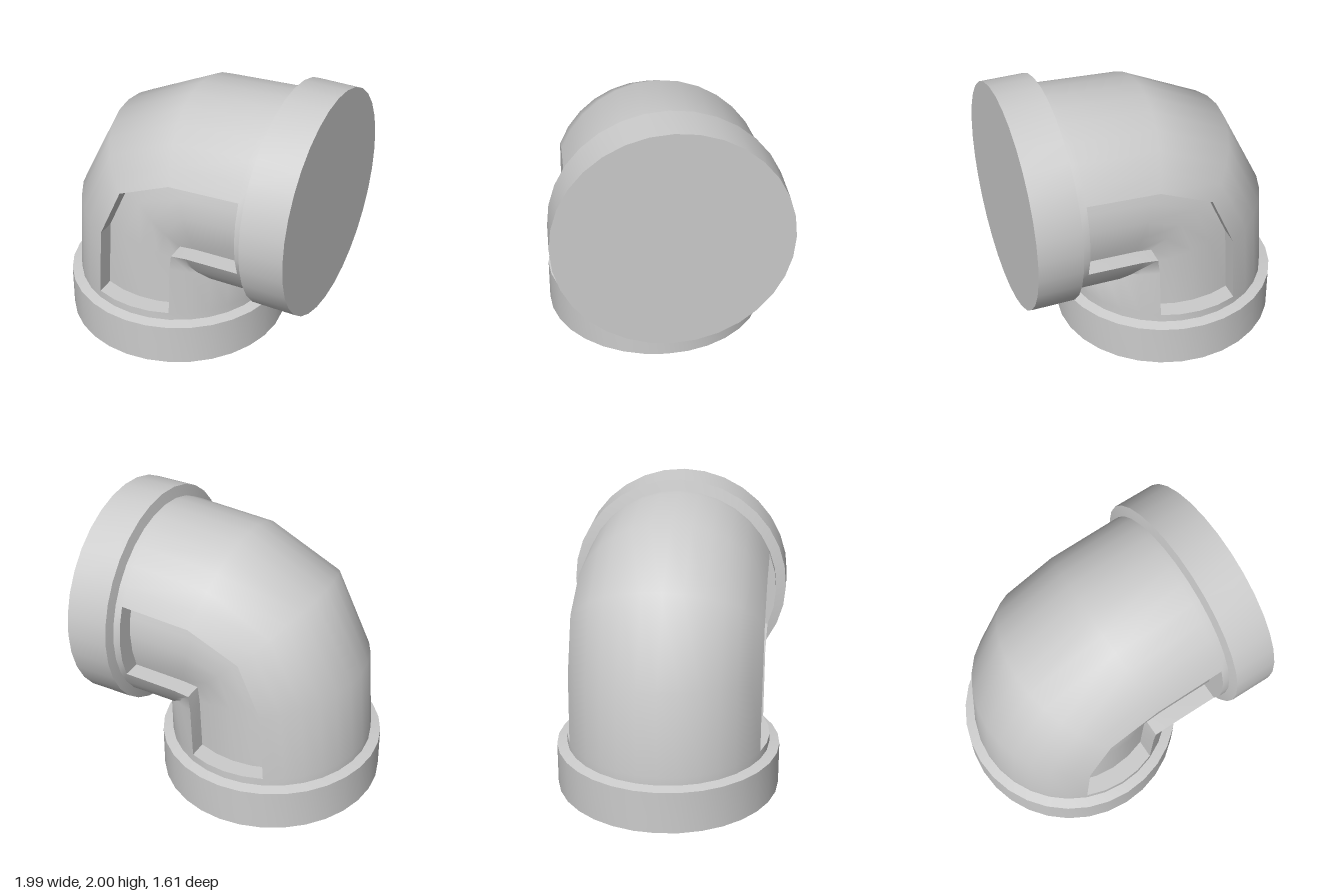
import * as THREE from 'three';
import { toCreasedNormals } from 'three/addons/utils/BufferGeometryUtils.js';

const SIDES = 32, R = 0.73, COLLAR_R = 0.803, DEPTH = 0.13;
const WINDOWS = [6, 22];          // first segment of each recessed side panel
const SPAN = 4;                   // panel width in segments

// Cross-sections of the bend: centre (x, y) and half-width vector towards the inner side
const half = [
  [-0.19, 0.325, R, 0],
  [-0.19, 0.385, R, 0],
  [-0.17, 0.835, 0.71, -0.165],
];
const mirrored = half.map(([x, y, dx, dy]) => [1 - y, 1 - x, -dy, -dx]).reverse();
const stations = [...half, [-0.08, 1.08, 0.51, -0.51], ...mirrored];
const LAST = stations.length - 2; // panels run from station 1 to this one

// Point on the pipe skin, optionally sunk in z to form a panel floor
function skinPoint(k, i, sink = 0) {
  const [x, y, dx, dy] = stations[k];
  const a = (i / SIDES) * Math.PI * 2, u = Math.cos(a), s = Math.sin(a);
  return new THREE.Vector3(x + dx * u, y + dy * u, R * s - Math.sign(s) * sink);
}

// Surface through rows of points; closed rows wrap round, skip(k, i) leaves a hole
function loft(rows, closed, skip = () => false) {
  const n = rows[0].length, index = [];
  for (let k = 0; k < rows.length - 1; k++) {
    for (let i = 0; i < (closed ? n : n - 1); i++) {
      if (skip(k, i)) continue;
      const j = (i + 1) % n;
      const a = k * n + i, b = a + n, c = k * n + j, d = c + n;
      index.push(a, b, d, a, d, c);
    }
  }
  const geo = new THREE.BufferGeometry().setFromPoints(rows.flat());
  geo.setIndex(index);
  geo.computeVertexNormals();
  return geo;
}

export function createModel() {
  const group = new THREE.Group();
  const grey = new THREE.MeshStandardMaterial({ color: 0xcccccc });
  const add = (name, geo) => {
    const mesh = new THREE.Mesh(geo, grey);
    mesh.name = name;
    group.add(mesh);
    return mesh;
  };

  // Elbow pipe with an opening in each side
  const rings = stations.map((_, k) => Array.from({ length: SIDES }, (_, i) => skinPoint(k, i)));
  const inWindow = (k, i) => k >= 1 && k < LAST && WINDOWS.some(w => i >= w && i < w + SPAN);
  add('elbowPipe', loft(rings, true, inWindow));

  // Recessed panels: sunken floor plus the surrounding step
  WINDOWS.forEach((w, n) => {
    const side = n === 0 ? 'front' : 'back';
    const floor = [];
    for (let k = 1; k <= LAST; k++) {
      floor.push(Array.from({ length: SPAN + 1 }, (_, i) => skinPoint(k, w + i, DEPTH)));
    }
    add(side + 'PanelFloor', loft(floor, false));

    const rim = [];
    for (let i = 0; i < SPAN; i++) rim.push([1, w + i]);
    for (let k = 1; k < LAST; k++) rim.push([k, w + SPAN]);
    for (let i = SPAN; i > 0; i--) rim.push([LAST, w + i]);
    for (let k = LAST; k > 1; k--) rim.push([k, w]);
    const wall = loft([0, DEPTH].map(d => rim.map(([k, i]) => skinPoint(k, i, d))), true);
    add(side + 'PanelWall', toCreasedNormals(wall, 0.3));
  });

  // End collars with a shallow chamfer towards the pipe
  const profile = [[0, 0], [COLLAR_R, 0], [COLLAR_R, 0.31], [0.72, 0.328]]
    .map(([x, y]) => new THREE.Vector2(x, y));
  const collar = toCreasedNormals(new THREE.LatheGeometry(profile, SIDES), 0.5);
  add('bottomCollar', collar).position.set(-0.19, 0, 0);
  const sideCollar = add('sideCollar', collar);
  sideCollar.rotation.z = Math.PI / 2;
  sideCollar.position.set(0.993, 1.197, 0);

  return group;
}
